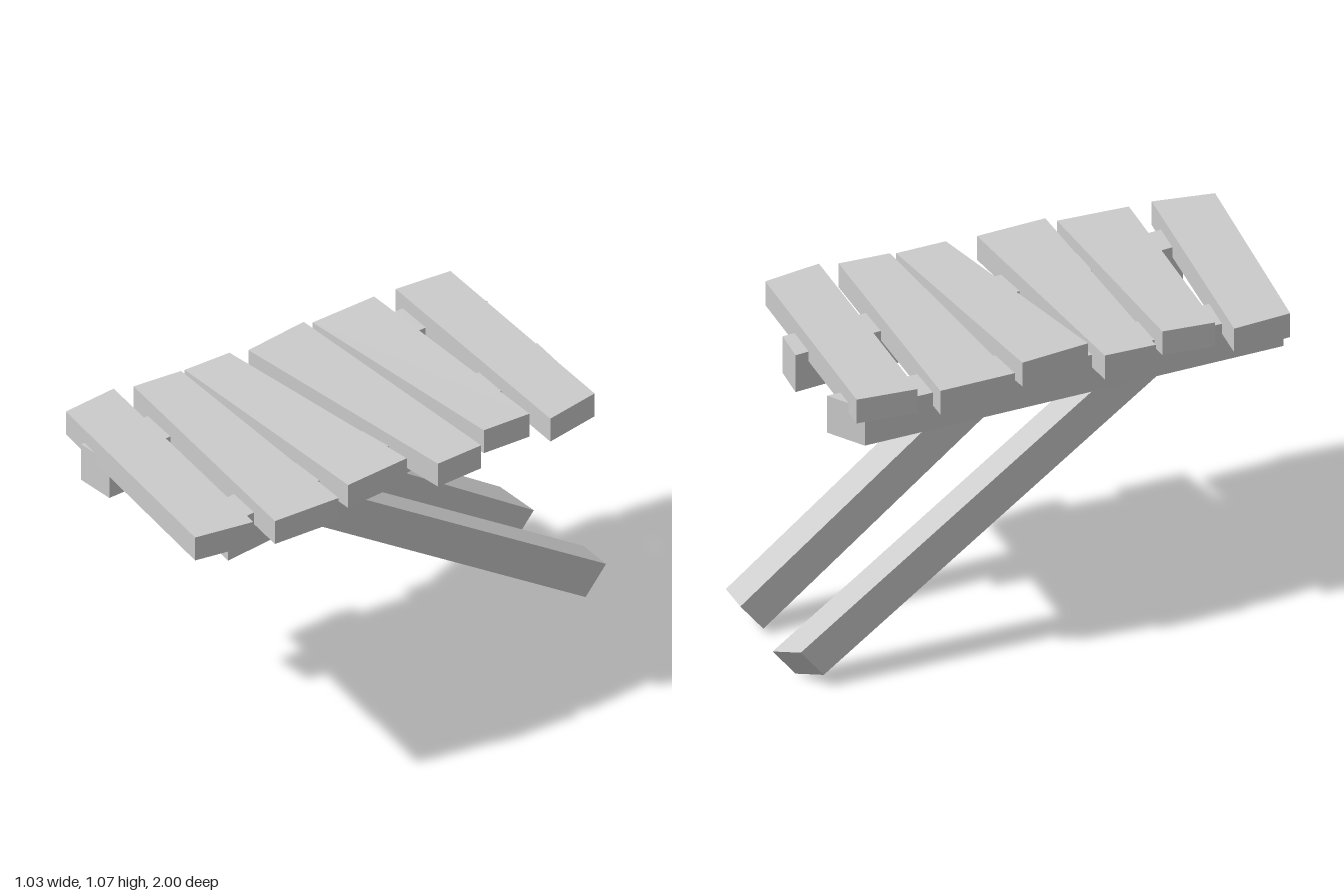
import * as THREE from 'three';

const material = new THREE.MeshStandardMaterial({ color: 0xcccccc, flatShading: true });

// Solid between a lower and an upper ring of four corners:
// back left, back right, front right, front left (seen with +x to the right)
function hewnBlock(name, low, high) {
  const pos = [];
  const quad = (a, b, c, d) => [a, b, c, a, c, d].forEach((p) => pos.push(...p));
  quad(...low);
  quad(...[...high].reverse());
  for (let i = 0; i < 4; i++) {
    const j = (i + 1) % 4;
    quad(low[i], high[i], high[j], low[j]);
  }
  const geo = new THREE.BufferGeometry();
  geo.setAttribute('position', new THREE.Float32BufferAttribute(pos, 3));
  geo.computeVertexNormals();
  const mesh = new THREE.Mesh(geo, material);
  mesh.name = name;
  return mesh;
}

// Board with a plan outline of [x, z] corners; tilt raises the +x end and lowers the other
function board(name, outline, bottom, top, tilt = 0) {
  const ring = (y) => outline.map(([x, z]) => [x, y + tilt * Math.sign(x), z]);
  return hewnBlock(name, ring(bottom), ring(top));
}

// Leg that runs from its foot corners along a slope until it meets height topY
function leg(name, foot, dx, dz, topY) {
  const head = foot.map(([x, y, z]) => [x + dx * (topY - y), topY, z + dz * (topY - y)]);
  return hewnBlock(name, foot, head);
}

export function createModel() {
  const model = new THREE.Group();
  model.name = 'plankPlatform';

  // Uneven deck planks, from back to front
  const planks = [
    [[[-0.49, -0.75], [0.46, -0.66], [0.51, -0.44], [-0.5, -0.53]], 0],
    [[[-0.52, -0.455], [0.46, -0.39], [0.46, -0.2], [-0.5, -0.185]], 0.013],
    [[[-0.485, -0.137], [0.5, -0.16], [0.515, 0.03], [-0.44, 0.125]], -0.013],
    [[[-0.5, 0.16], [0.46, 0.12], [0.49, 0.385], [-0.495, 0.35]], 0.013],
    [[[-0.46, 0.39], [0.505, 0.435], [0.505, 0.7], [-0.47, 0.58]], -0.013],
    [[[-0.515, 0.63], [0.485, 0.775], [0.455, 0.995], [-0.485, 0.85]], 0],
  ];
  planks.forEach(([outline, tilt], i) => {
    model.add(board(`plank${i + 1}`, outline, 0.963, 1.052, tilt));
  });

  // Two beams under the deck
  model.add(board('rightBeam', [[-0.468, -0.71], [-0.325, -0.785], [-0.195, 0.88], [-0.35, 0.885]], 0.862, 1.0));
  model.add(board('leftBeam', [[0, -0.755], [0.15, -0.735], [0.38, 0.805], [0.24, 0.78]], 0.862, 1.0));

  // Two slanted legs reaching backwards to the ground
  model.add(leg('rightLeg', [
    [-0.488, 0.145, -0.955], [-0.357, 0.1, -1.0], [-0.357, 0, -0.915], [-0.488, 0.045, -0.87],
  ], 0.14, 1.575, 0.9));
  model.add(leg('leftLeg', [
    [-0.037, 0.12, -0.975], [0.105, 0.12, -0.965], [0.105, 0.02, -0.88], [-0.037, 0.02, -0.89],
  ], 0.25, 1.575, 0.9));

  return model;
}
